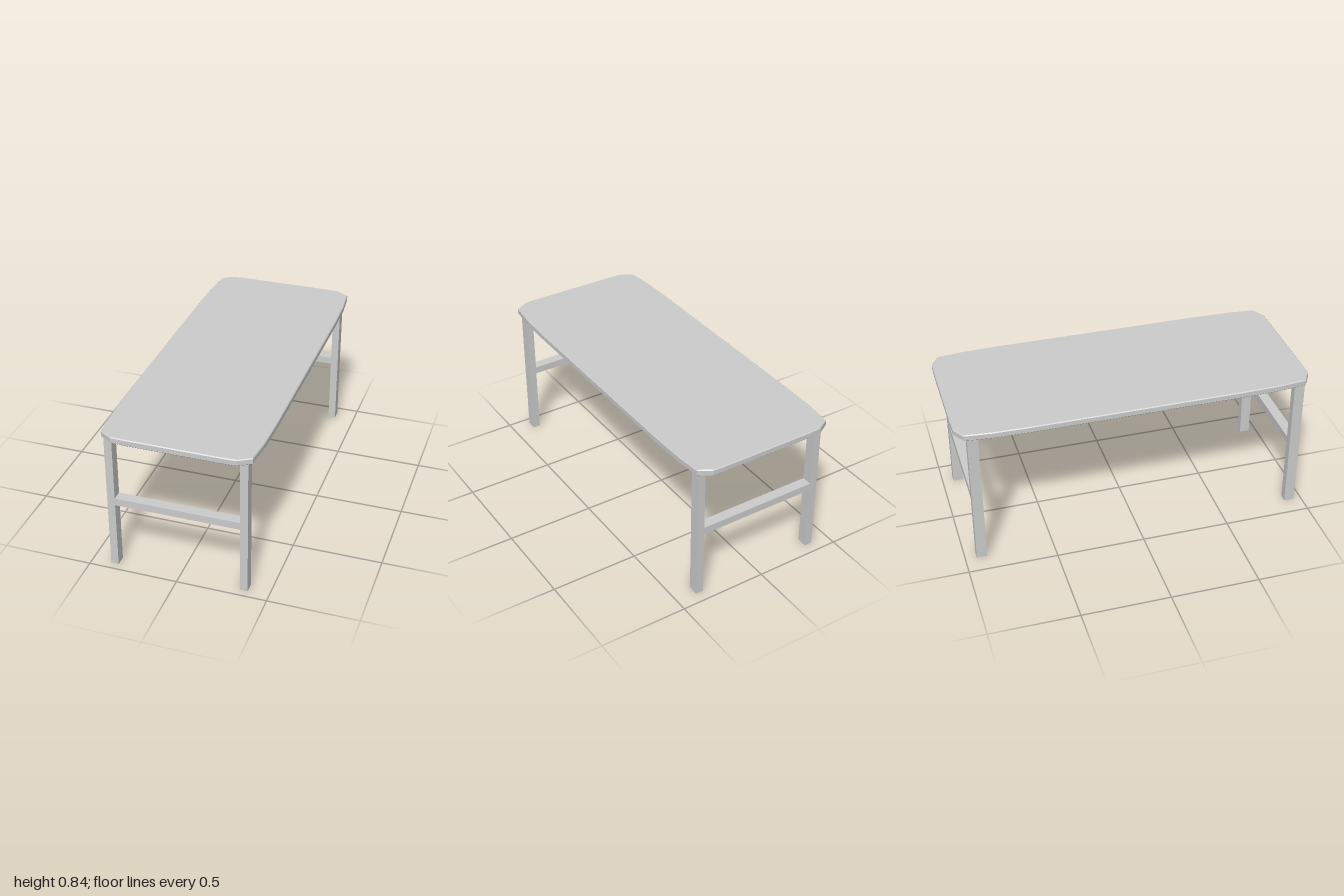
import * as THREE from 'three';

export function createModel() {
  const group = new THREE.Group();
  const material = new THREE.MeshStandardMaterial({ color: 0xcccccc, flatShading: true });

  const add = (name, geometry, x, y, z) => {
    const mesh = new THREE.Mesh(geometry, material);
    mesh.name = name;
    mesh.position.set(x, y, z);
    group.add(mesh);
  };

  // Tabletop: one quarter of the outline, mirrored into all four corners
  const quarter = [[0.425, 0.6], [0.42, 0.8], [0.405, 0.955], [0.335, 0.997], [0.26, 1]];
  const reversed = [...quarter].reverse();
  const outline = [
    ...quarter,
    ...reversed.map(([x, z]) => [-x, z]),
    ...quarter.map(([x, z]) => [-x, -z]),
    ...reversed.map(([x, z]) => [x, -z]),
  ].map(([x, z]) => new THREE.Vector2(x, z));
  const bevel = 0.005;
  const bottom = 0.802, top = 0.839;
  const topGeometry = new THREE.ExtrudeGeometry(new THREE.Shape(outline), {
    depth: top - bottom - 2 * bevel,
    bevelThickness: bevel,
    bevelSize: bevel,
    bevelOffset: -bevel,
    bevelSegments: 1,
  });
  topGeometry.rotateX(-Math.PI / 2);
  add('tabletop', topGeometry, 0, bottom + bevel, 0);

  // Two end frames: a pair of legs joined by a flush rail
  const centreX = -0.005, legX = 0.366, legW = 0.043, legD = 0.059;
  const legGeometry = new THREE.BoxGeometry(legW, bottom, legD);
  const railGeometry = new THREE.BoxGeometry(2 * legX - legW, 0.042, legD);
  for (const [end, z] of [['front', 0.927], ['back', -0.907]]) {
    add(end + 'LeftLeg', legGeometry, centreX + legX, bottom / 2, z);
    add(end + 'RightLeg', legGeometry, centreX - legX, bottom / 2, z);
    add(end + 'Rail', railGeometry, centreX, 0.411, z);
  }

  return group;
}
